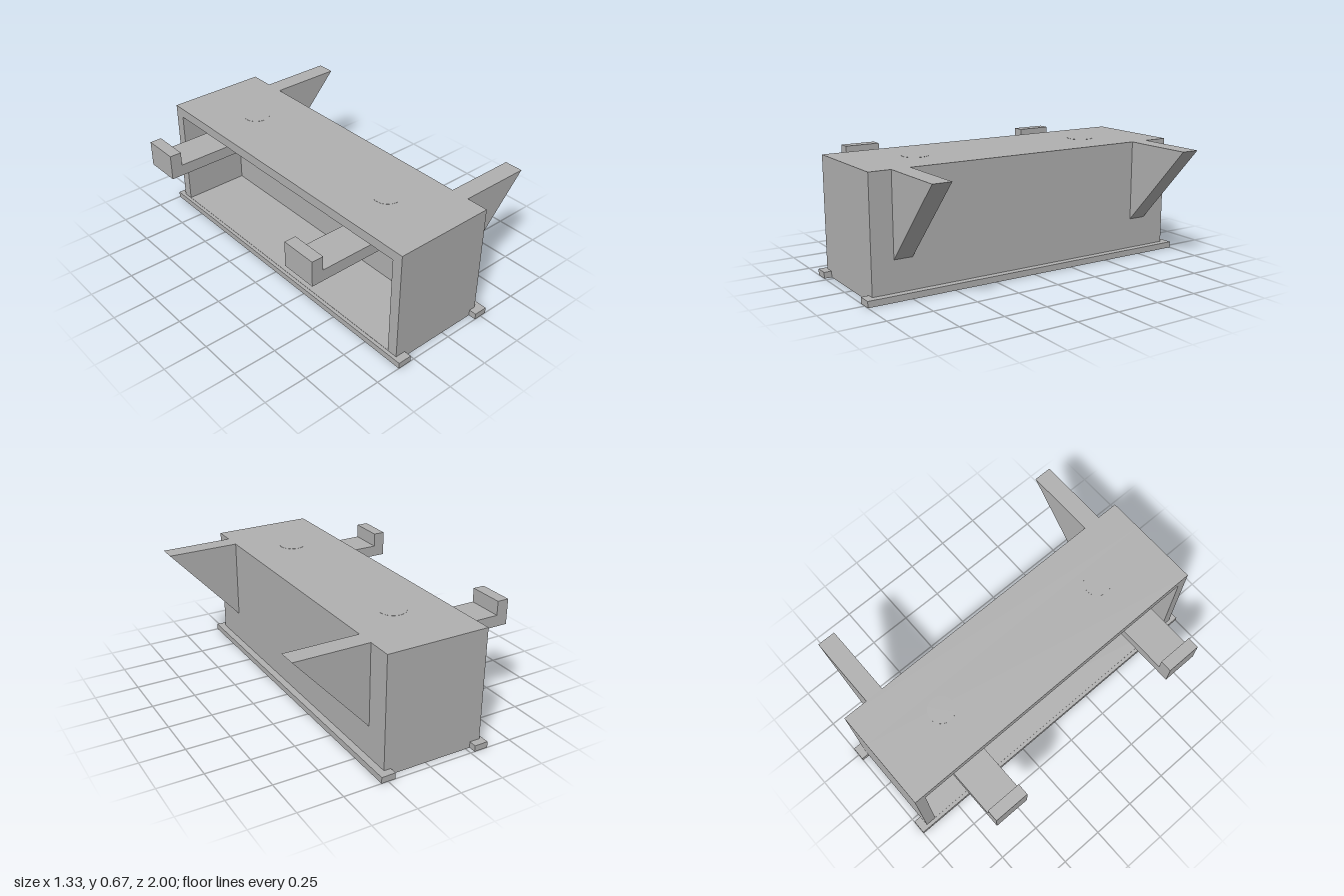
import * as THREE from 'three';

const grey = new THREE.MeshStandardMaterial({ color: 0xb0b0b0 });
grey.name = 'plain grey';

function add(group, name, geometry, x = 0, y = 0, z = 0) {
  const mesh = new THREE.Mesh(geometry, grey);
  mesh.name = name;
  mesh.position.set(x, y, z);
  group.add(mesh);
  return mesh;
}

// Box given by its minimum and maximum corners
function block(group, name, [x0, y0, z0], [x1, y1, z1]) {
  return add(group, name, new THREE.BoxGeometry(x1 - x0, y1 - y0, z1 - z0),
    (x0 + x1) / 2, (y0 + y1) / 2, (z0 + z1) / 2);
}

// Side profile in x and y, extruded along z and centred on the given z
function plate(group, name, points, width, z) {
  const shape = new THREE.Shape(points.map(([x, y]) => new THREE.Vector2(x, y)));
  const geometry = new THREE.ExtrudeGeometry(shape, { depth: width, bevelEnabled: false });
  return add(group, name, geometry, 0, 0, z - width / 2);
}

export function createModel() {
  const model = new THREE.Group();
  model.name = 'wallBox';

  const left = -0.335, right = 0.248, wall = 0.06, top = 0.67, end = 0.957;

  // Case: frame with a deep rectangular opening towards -x, and a thick wall behind it
  const outline = new THREE.Shape([[-end, 0], [end, 0], [end, top], [-end, top]]
    .map(([z, y]) => new THREE.Vector2(z, y)));
  const e = end - 0.06;
  outline.holes.push(new THREE.Path([[-e, 0.037], [-e, 0.615], [e, 0.615], [e, 0.037]]
    .map(([z, y]) => new THREE.Vector2(z, y))));
  const frame = new THREE.ExtrudeGeometry(outline, { depth: wall - left, bevelEnabled: false });
  frame.rotateY(Math.PI / 2);
  add(model, 'caseFrame', frame, left);
  block(model, 'caseWall', [wall, 0, -end], [right, top, end]);

  // Base rails running along both long sides
  block(model, 'baseRailRight', [-0.355, 0, -1], [-0.275, 0.035, 1]);
  block(model, 'baseRailLeft', [0.208, 0, -1], [0.288, 0.035, 1]);

  // Hooks reaching out of the opening, brackets and flush discs at each end
  const hook = [[-0.667, 0.51], [wall, 0.51], [wall, 0.575], [-0.6, 0.575], [-0.6, 0.655], [-0.667, 0.655]];
  const bracket = [[right, 0.21], [0.665, top], [right, top]];
  for (const s of [-1, 1]) {
    plate(model, 'hook', hook, 0.205, s * 0.604);
    plate(model, 'bracket', bracket, 0.105, s * 0.771 + 0.009);
    add(model, 'topDisc', new THREE.CylinderGeometry(0.075, 0.075, 0.004, 32), -0.045, top - 0.001, s * 0.55);
  }
  return model;
}
